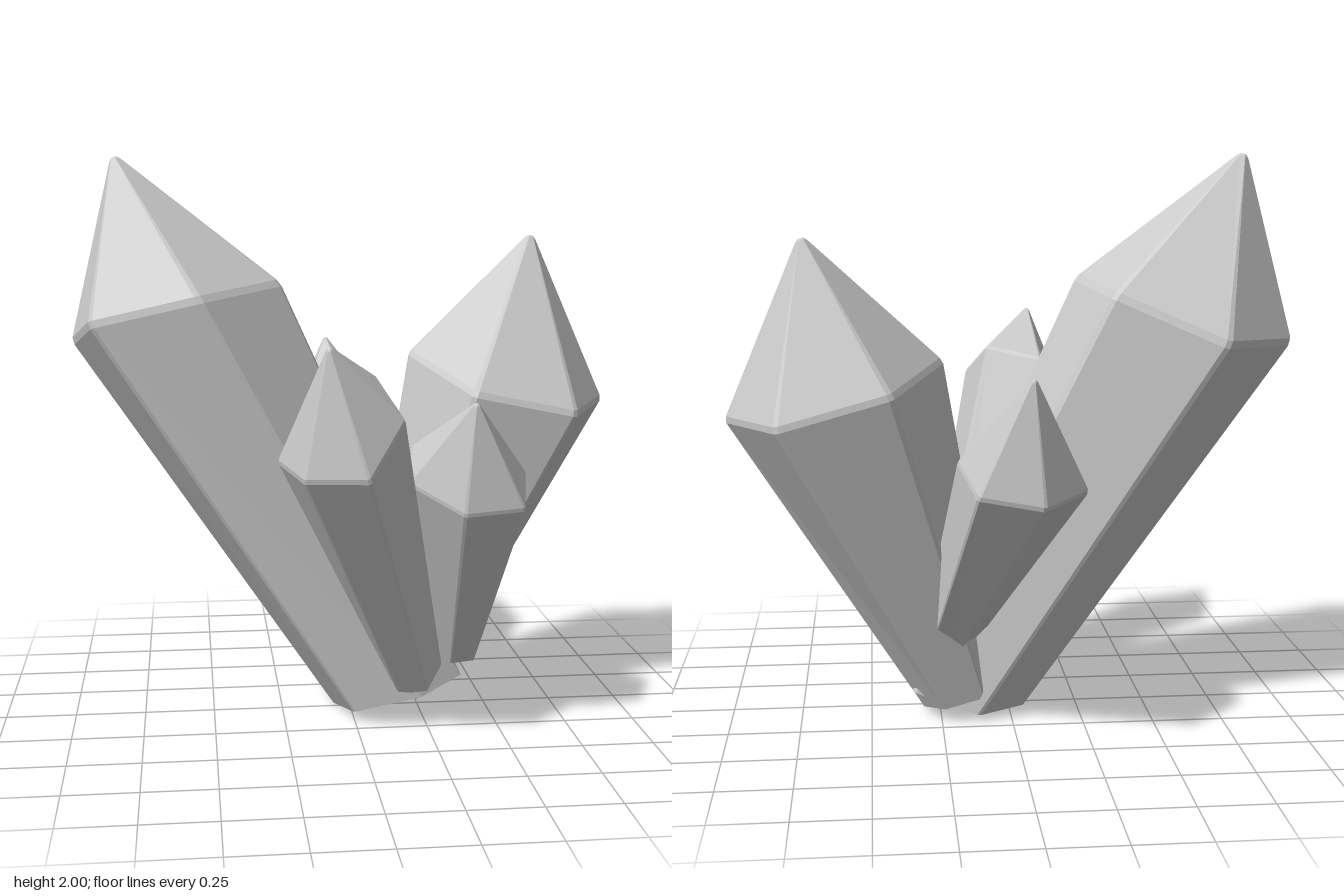
import * as THREE from 'three';

const V = (a) => new THREE.Vector3(...a);

// Six-sided crystals: centre of the foot, centre of the shoulder, tip,
// two neighbouring shoulder corners (relative to its centre), foot scale,
// and how far each of the six shoulder corners sits above a flat ring.
const CRYSTALS = [
  { name: 'largestCrystal', foot: [0.17, 0.07, 0.03], shoulder: [-0.62, 1.46, -0.055], tip: [-0.82, 2.0, -0.08],
    a: [0.37, 0.11, 0.11], b: [0.085, 0.07, 0.38], scale: 0.62, lift: [0, 0, 0.02, 0, -0.02, 0.03] },
  { name: 'secondCrystal', foot: [0.17, 0.06, -0.08], shoulder: [0.61, 1.2, -0.185], tip: [0.71, 1.72, -0.26],
    a: [0.375, -0.09, -0.03], b: [0.19, -0.08, 0.325], scale: 0.38, lift: [0, -0.02, -0.03, 0.01, -0.06, -0.07] },
  { name: 'frontRightCrystal', foot: [0.21, 0.2, 0.18], shoulder: [-0.09, 1.12, 0.56], tip: [-0.14, 1.4, 0.69],
    a: [0.2, 0.04, 0.075], b: [0.07, -0.12, 0.21], scale: 0.48, lift: [0, -0.01, 0.02, -0.07, 0, 0] },
  { name: 'frontLeftCrystal', foot: [0.365, 0.24, 0.08], shoulder: [0.365, 0.92, 0.35], tip: [0.37, 1.19, 0.48],
    a: [0.21, 0.01, -0.035], b: [0.175, -0.09, 0.13], scale: 0.42, lift: [0, 0, 0, 0, 0, 0] },
  { name: 'backCrystal', foot: [0.24, 0.24, -0.1], shoulder: [0, 1.0, -0.57], tip: [-0.02, 1.3, -0.73],
    a: [0.21, 0.01, 0.045], b: [0.055, 0.085, 0.195], scale: 0.42, lift: [0, 0, -0.05, -0.07, -0.02, 0] },
];

// Skin a stack of closed rings, open at the foot and capped at the tip
function skinRings(rings) {
  const positions = [];
  const tri = (...points) => points.forEach((p) => positions.push(p.x, p.y, p.z));
  const last = rings[rings.length - 1];
  const n = last.length;
  const top = last.reduce((s, p) => s.add(p), new THREE.Vector3()).divideScalar(n);
  for (let i = 0; i < n; i++) {
    const j = (i + 1) % n;
    for (let r = 0; r < rings.length - 1; r++) {
      const low = rings[r], high = rings[r + 1];
      tri(low[i], high[i], high[j]);
      tri(low[i], high[j], low[j]);
    }
    tri(top, last[j], last[i]);
  }
  const geometry = new THREE.BufferGeometry();
  geometry.setAttribute('position', new THREE.Float32BufferAttribute(positions, 3));
  geometry.computeVertexNormals();
  return geometry;
}

// Each corner becomes two points, giving narrow bevels along the edges
function bevelled(hex) {
  return hex.flatMap((v, i) => [
    v.clone().lerp(hex[(i + 5) % 6], 0.03),
    v.clone().lerp(hex[(i + 1) % 6], 0.03),
  ]);
}

function crystalGeometry({ foot, shoulder, tip, a, b, scale, lift }) {
  const v1 = V(a), v2 = V(b), v3 = V(b).sub(v1);
  const hex = [v1, v2, v3, ...[v1, v2, v3].map((v) => v.clone().negate())];
  const flat = bevelled(hex);
  const uneven = bevelled(hex.map((v, i) => v.clone().setY(v.y + lift[i])));
  const ring = (outline, centre, s) => outline.map((p) => p.clone().multiplyScalar(s).add(centre));
  const f = V(foot), m = V(shoulder), t = V(tip);
  return skinRings([
    ring(flat, f, scale),
    ring(uneven, m.clone().lerp(f, 0.01), 1),
    ring(uneven, m.clone().lerp(t, 0.02), 0.985),
    ring(flat, t.clone().lerp(m, 0.015), 0.05),
    ring(flat, t, 0.025),
  ]);
}

export function createModel() {
  const group = new THREE.Group();
  group.name = 'crystalCluster';
  const material = new THREE.MeshStandardMaterial({ color: 0xcccccc, flatShading: true, side: THREE.DoubleSide });
  for (const crystal of CRYSTALS) {
    const mesh = new THREE.Mesh(crystalGeometry(crystal), material);
    mesh.name = crystal.name;
    group.add(mesh);
  }
  return group;
}
